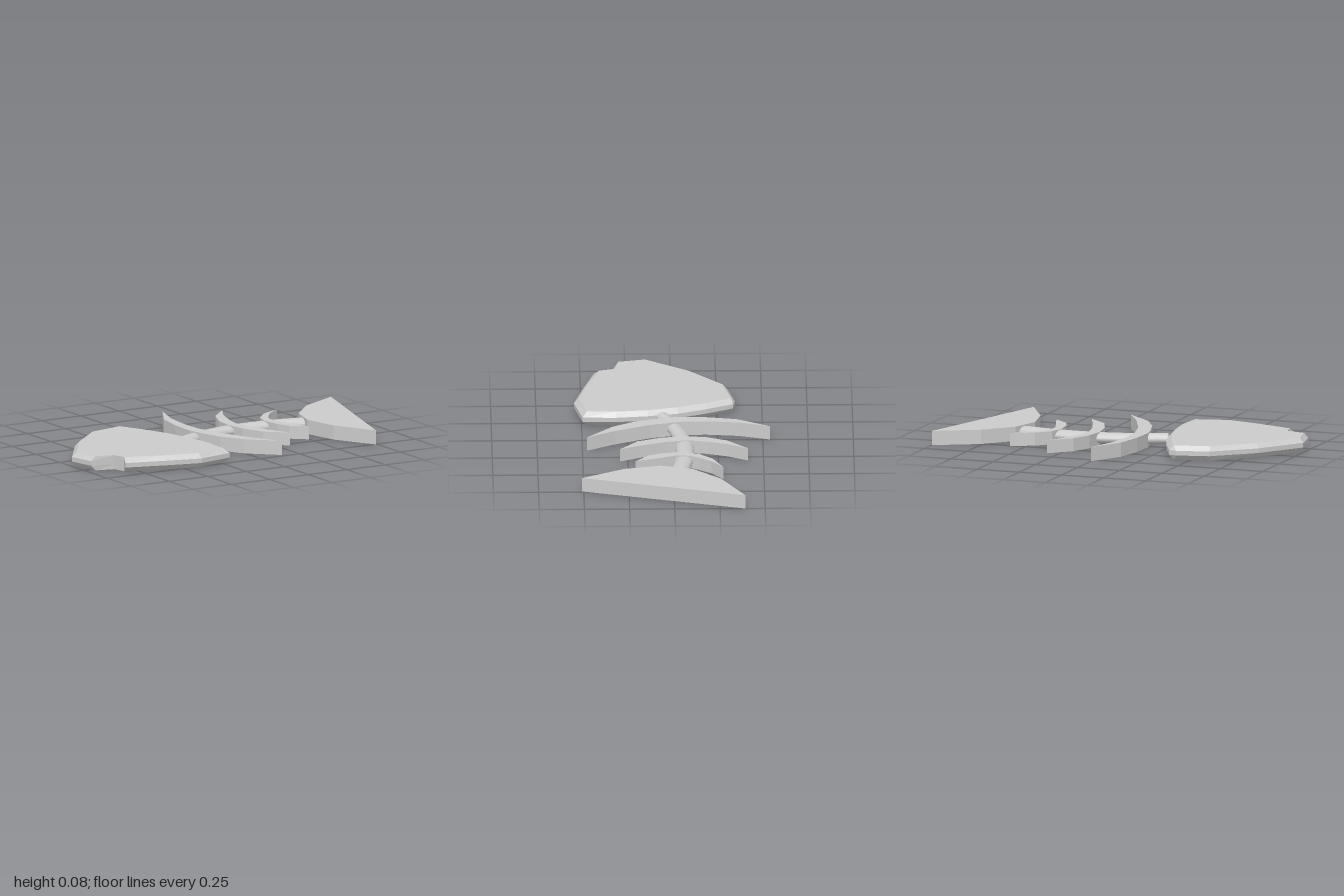
import * as THREE from 'three';

const H = 0.08; // overall thickness
const MID = 0.042; // spine height

// Flat plate from an [x, z] outline, extruded upward
function plate(name, outline, y0, y1, material) {
  const shape = new THREE.Shape(outline.map(([x, z]) => new THREE.Vector2(x, -z)));
  const geo = new THREE.ExtrudeGeometry(shape, { depth: y1 - y0, bevelEnabled: false });
  geo.rotateX(-Math.PI / 2).translate(0, y0, 0);
  const mesh = new THREE.Mesh(geo, material);
  mesh.name = name;
  return mesh;
}

// Slab with chamfered rim: rows are [rim x, rim z, face x, face z]
function chamferedSlab(rows, levels) {
  const n = rows.length, pos = [], idx = [];
  levels.forEach((y, r) => rows.forEach(([ox, oz, ix, iz]) => {
    const rim = r === 1 || r === 2;
    pos.push(rim ? ox : ix, y, rim ? oz : iz);
  }));
  for (let r = 0; r < 3; r++) {
    for (let i = 0; i < n; i++) {
      const l = r * n, u = l + n, j = (i + 1) % n;
      idx.push(l + j, l + i, u + i, l + j, u + i, u + j);
    }
  }
  const face = rows.map(([, , x, z]) => new THREE.Vector2(x, -z));
  for (const [a, b, c] of THREE.ShapeUtils.triangulateShape(face, [])) {
    idx.push(3 * n + a, 3 * n + b, 3 * n + c, c, b, a);
  }
  const indexed = new THREE.BufferGeometry();
  indexed.setAttribute('position', new THREE.Float32BufferAttribute(pos, 3));
  indexed.setIndex(idx);
  const geo = indexed.toNonIndexed();
  geo.computeVertexNormals();
  return geo;
}

// Cylinder bent along the backbone curve, oval and slightly tapered
function spineGeometry() {
  const curve = new THREE.CatmullRomCurve3([
    [-0.23, 0.055], [-0.1, 0], [0.085, -0.05], [0.28, -0.065], [0.46, -0.05], [0.62, -0.015],
  ].map(([x, z]) => new THREE.Vector3(x, MID, z)));
  const geo = new THREE.CylinderGeometry(1, 1, 1, 14, 12);
  const p = geo.attributes.position;
  for (let i = 0; i < p.count; i++) {
    const t = THREE.MathUtils.clamp(p.getY(i) + 0.5, 0, 1);
    const c = curve.getPointAt(t), d = curve.getTangentAt(t);
    const side = p.getX(i) * (0.038 + 0.013 * Math.min(1, t * 1.8));
    p.setXYZ(i, c.x - d.z * side, c.y + p.getZ(i) * 0.031, c.z + d.x * side);
  }
  geo.computeVertexNormals();
  return geo;
}

export function createModel() {
  const group = new THREE.Group();
  const material = new THREE.MeshStandardMaterial({ color: 0xcccccc });
  const flat = new THREE.MeshStandardMaterial({ color: 0xcccccc, flatShading: true });

  // Head, with the open mouth as a notch in the outline
  const head = new THREE.Mesh(chamferedSlab([
    [-1, 0.13, -0.977, 0.14],
    [-0.83, -0.115, -0.81, -0.1],
    [-0.61, -0.31, -0.61, -0.285],
    [-0.43, -0.35, -0.41, -0.33],
    [-0.385, -0.34, -0.408, -0.328],
    [-0.315, -0.195, -0.34, -0.185],
    [-0.25, -0.035, -0.28, -0.03],
    [-0.215, 0.135, -0.24, 0.135],
    [-0.195, 0.31, -0.22, 0.31],
    [-0.2, 0.495, -0.23, 0.47],
    [-0.41, 0.54, -0.415, 0.515],
    [-0.61, 0.49, -0.61, 0.465],
    [-0.835, 0.425, -0.822, 0.392],
    [-0.82, 0.388, -0.82, 0.388],
    [-0.84, 0.315, -0.84, 0.315],
    [-0.97, 0.285, -0.945, 0.288],
  ], [0, 0.028, 0.054, H]), flat);
  head.name = 'head';
  group.add(head);

  // Backbone
  const spine = new THREE.Mesh(spineGeometry(), material);
  spine.name = 'spine';
  group.add(spine);

  // Curved ribs, largest next to the head
  group.add(plate('largeRib', [
    [0, -0.54], [-0.105, -0.355], [-0.135, -0.185], [-0.14, -0.025], [-0.125, 0.055], [-0.08, 0.2],
    [-0.005, 0.33], [0.15, 0.475], [0.06, 0.32], [-0.027, 0.12], [-0.07, -0.05], [-0.075, -0.185],
    [-0.055, -0.365],
  ], 0, H, material));
  group.add(plate('middleRib', [
    [0.31, -0.415], [0.195, -0.3], [0.145, -0.185], [0.13, -0.065], [0.15, 0.065], [0.2, 0.195],
    [0.315, 0.295], [0.265, 0.185], [0.21, 0.03], [0.19, -0.08], [0.21, -0.185], [0.25, -0.305],
  ], 0.003, 0.076, material));
  group.add(plate('smallRib', [
    [0.58, -0.275], [0.455, -0.215], [0.385, -0.14], [0.36, -0.05], [0.375, 0.06], [0.405, 0.135],
    [0.49, 0.21], [0.455, 0.105], [0.41, -0.015], [0.415, -0.095], [0.445, -0.145], [0.495, -0.21],
  ], 0.003, 0.076, material));

  // Tail fin
  group.add(plate('tailFin', [
    [1, -0.39], [0.76, -0.26], [0.615, -0.105], [0.565, 0.07], [0.61, 0.275], [0.74, 0.51],
  ], 0, H, material));

  return group;
}
